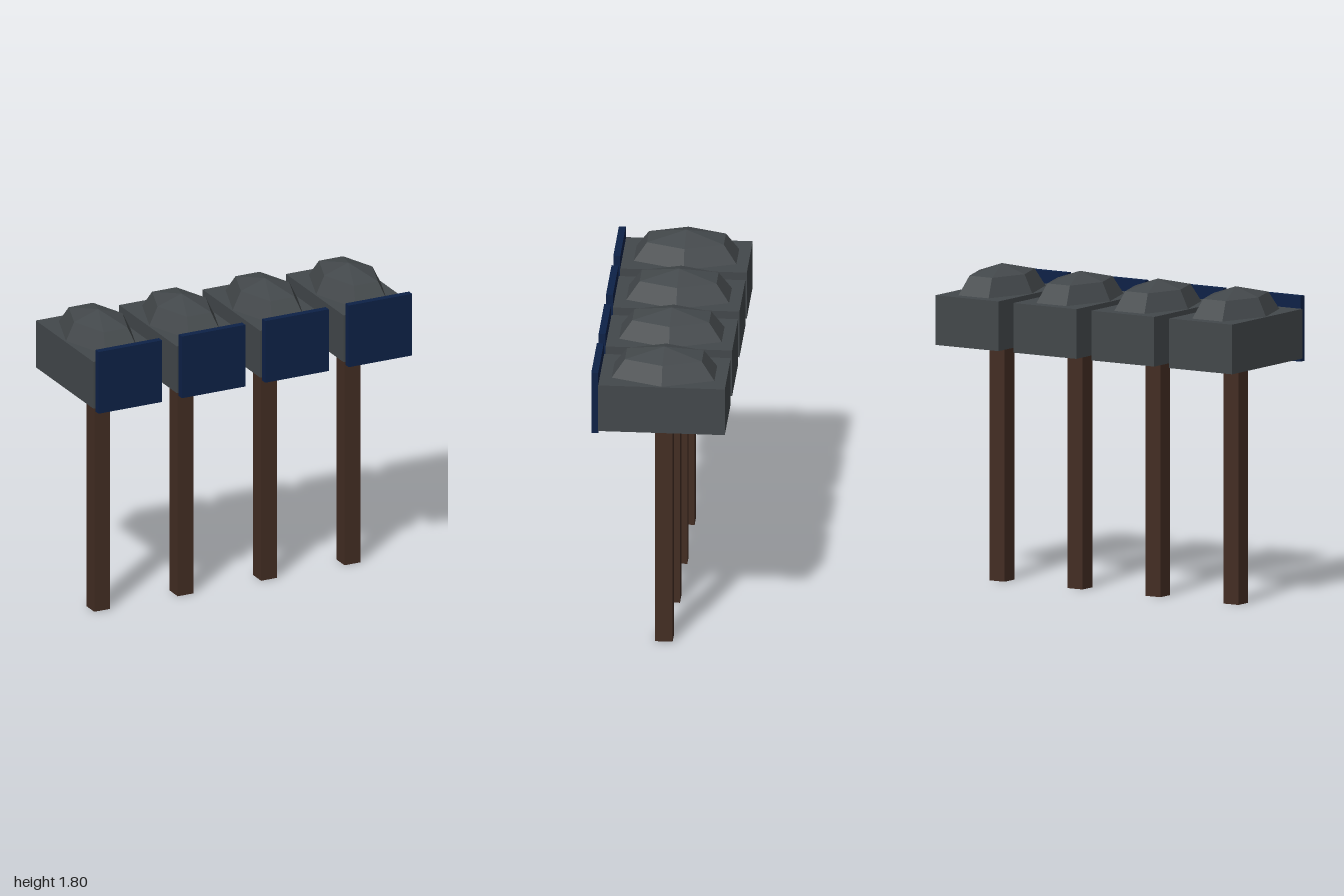
import * as THREE from 'three';

const stone = new THREE.MeshStandardMaterial({ color: 0x43484b });
stone.name = 'dark grey';
const navy = new THREE.MeshStandardMaterial({ color: 0x0d2147 });
navy.name = 'navy blue';
const wood = new THREE.MeshStandardMaterial({ color: 0x432d23 });
wood.name = 'brown wood';

const Z = -0.02; // centre line of posts and boxes

function add(parent, name, geometry, material, x, y, z) {
  const mesh = new THREE.Mesh(geometry, material);
  mesh.name = name;
  mesh.position.set(x, y, z);
  parent.add(mesh);
}

function box(w, h, d) {
  return new THREE.BoxGeometry(w, h, d);
}

// Six-sided tier, stretched lengthwise, with corners pointing left and right
function hexTier(topRadius, bottomRadius, height) {
  const g = new THREE.CylinderGeometry(topRadius, bottomRadius, height, 6, 1, true, Math.PI / 6);
  g.scale(1, 1, 1.645);
  const flat = g.toNonIndexed();
  flat.computeVertexNormals();
  return flat;
}

function createMailbox() {
  const mailbox = new THREE.Group();
  mailbox.name = 'mailbox';
  add(mailbox, 'post', box(0.1, 1.37, 0.1), wood, 0, 0.685, Z);
  add(mailbox, 'body', box(0.424, 0.282, 0.713), stone, 0, 1.503, Z);
  add(mailbox, 'frontPanel', box(0.4, 0.372, 0.039), navy, 0, 1.529, 0.357);
  // Faceted dome: sloping skirt and shallow cap
  add(mailbox, 'domeSkirt', hexTier(0.152, 0.203, 0.105), stone, 0, 1.6965, Z);
  add(mailbox, 'domeCap', hexTier(0, 0.152, 0.051), stone, 0, 1.7745, Z);
  return mailbox;
}

export function createModel() {
  const model = new THREE.Group();
  model.name = 'mailboxRow';
  for (let i = 0; i < 4; i++) {
    const mailbox = createMailbox();
    mailbox.position.x = (i - 1.5) * 0.5253;
    model.add(mailbox);
  }
  return model;
}
